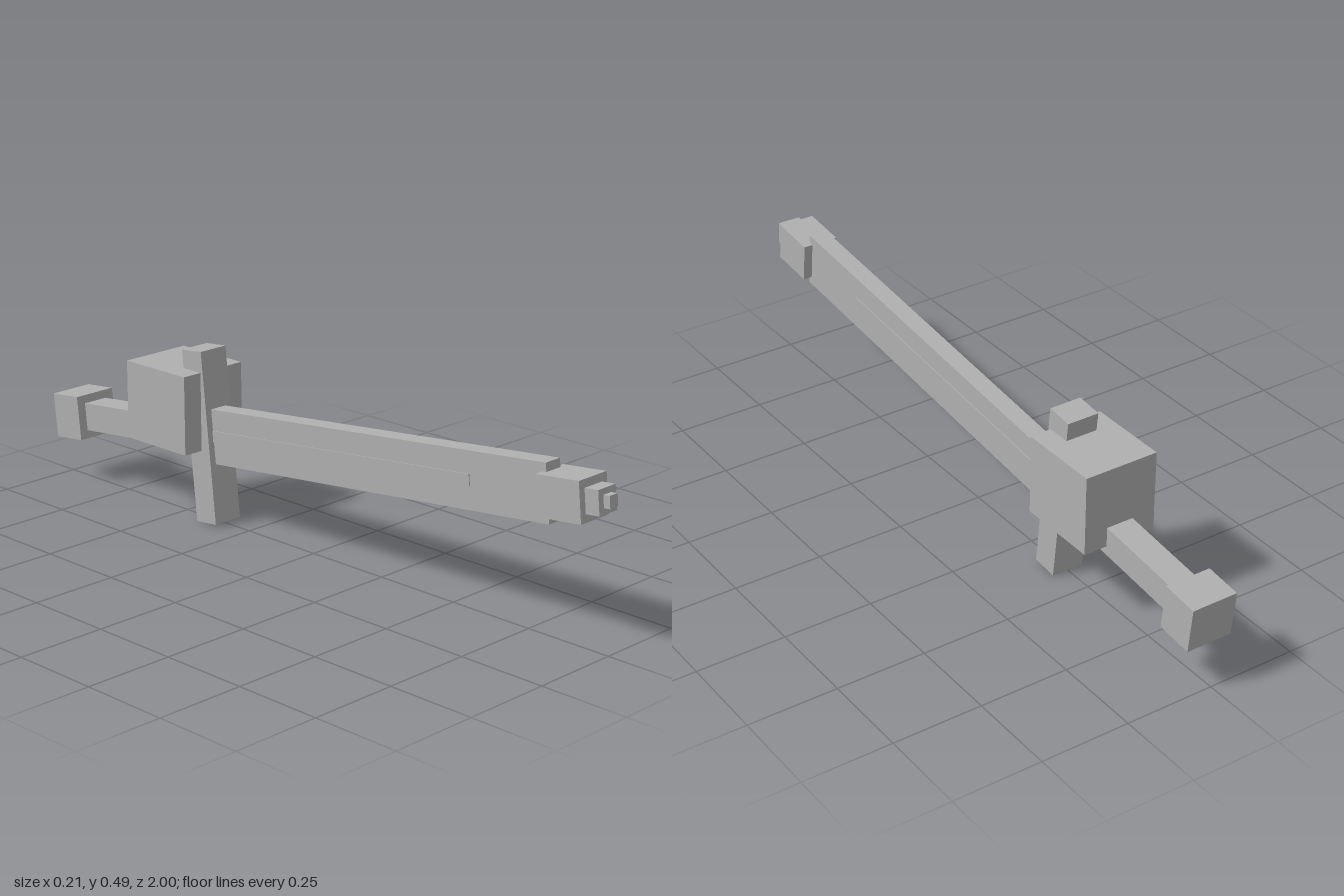
import * as THREE from 'three';

const TILT = 0.105; // the whole sword rises towards its tip
const SLOPE = Math.tan(TILT);
const axisY = (z) => 0.292 + SLOPE * z; // height of the sword's centre line

export function createModel() {
  const sword = new THREE.Group();
  sword.name = 'sword';
  const steel = new THREE.MeshStandardMaterial({ color: 0xb0b0b0 });
  steel.name = 'steel grey';

  const block = (name, w, h, d, y, z, tilt) => {
    const mesh = new THREE.Mesh(new THREE.BoxGeometry(w, h, d), steel);
    mesh.name = name;
    mesh.position.set(0, y, z);
    mesh.rotation.x = -tilt;
    sword.add(mesh);
  };

  // Box lying along the centre line, between two z positions
  const along = (name, w, h, zBack, zFront) => {
    const z = (zBack + zFront) / 2;
    block(name, w, h, (zFront - zBack) / Math.cos(TILT), axisY(z), z, TILT);
  };

  // Blade and the thin raised ridge on both of its sides
  along('blade', 0.053, 0.155, -0.4, 0.818);
  along('bladeRidge', 0.058, 0.034, -0.4, 0.57);

  // Stepped tip
  along('tipBase', 0.105, 0.108, 0.805, 0.938);
  along('tipMiddle', 0.066, 0.065, 0.9, 0.979);
  along('tipPoint', 0.03, 0.033, 0.95, 0.998);

  // Crossguard with the upright cube behind it
  block('guard', 0.092, 0.488, 0.076, 0.248, -0.398, TILT);
  block('hiltCube', 0.213, 0.223, 0.234, 0.3235, -0.505, 0);

  // Grip and pommel
  along('grip', 0.078, 0.08, -0.9, -0.4);
  along('pommel', 0.132, 0.128, -0.991, -0.886);

  return sword;
}
